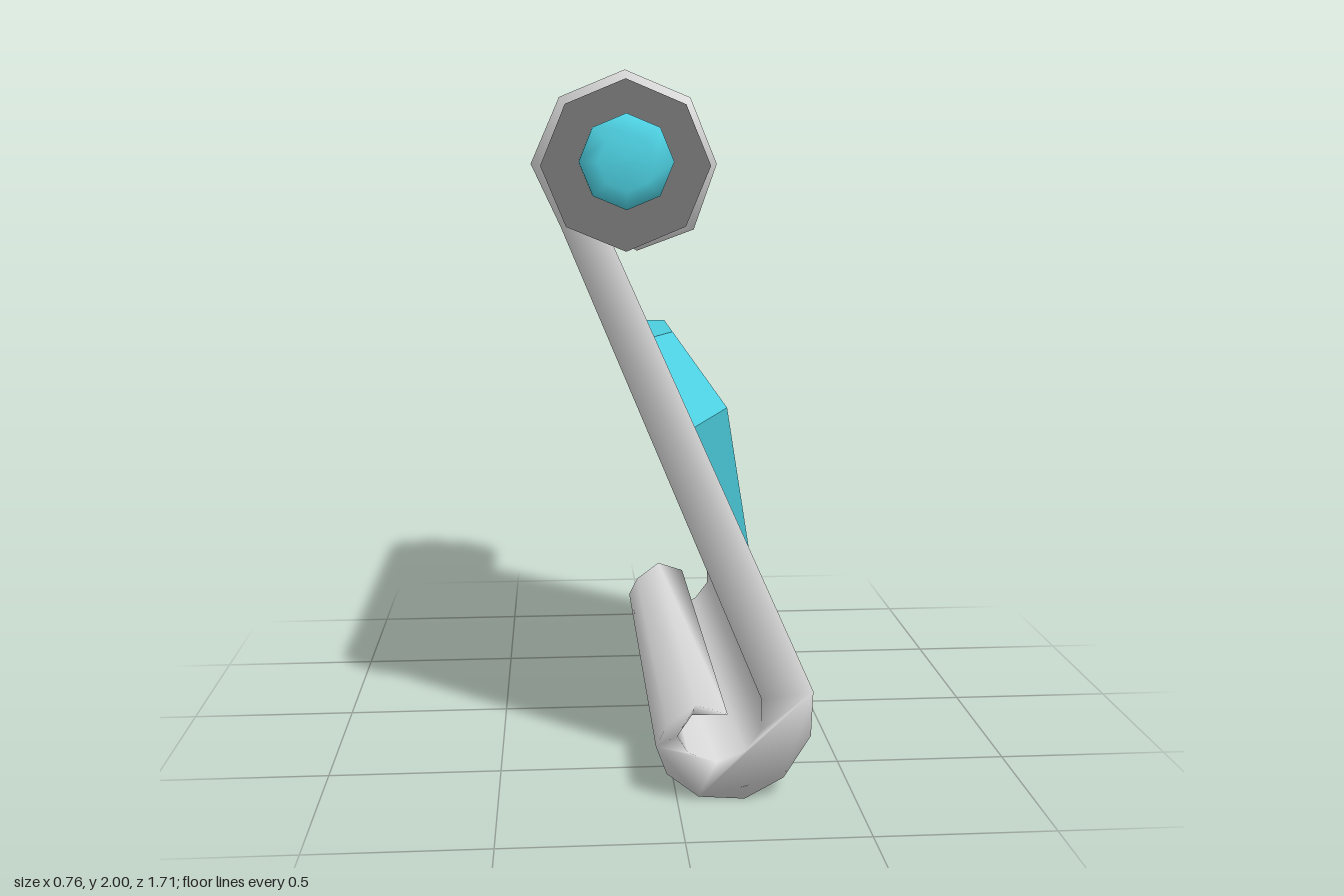
import * as THREE from 'three';
import { mergeVertices } from 'three/addons/utils/BufferGeometryUtils.js';
import { ConvexGeometry } from 'three/addons/geometries/ConvexGeometry.js';

const paper = new THREE.MeshStandardMaterial({ color: 0xdcdcdc });
paper.name = 'pale paper';
const rod = new THREE.MeshStandardMaterial({ color: 0x757575 });
rod.name = 'grey rod';
const cyan = new THREE.MeshStandardMaterial({ color: 0x4dd0e1 });
cyan.name = 'cyan gem';

const ROLL_X = -0.14, ROLL_Y = 1.76;

export function createModel() {
  const model = new THREE.Group();
  model.name = 'scroll';
  const add = (name, geometry, material) => {
    const mesh = new THREE.Mesh(geometry, material);
    mesh.name = name;
    model.add(mesh);
    return mesh;
  };

  // Paper: side profile of roll, leaning sheet and bottom curl, softly shaded
  const profile = [
    // top roll
    [-0.19, 1.59], [-0.11, 1.535], [0.04, 1.59], [0.10, 1.76], [0.03, 1.93],
    [-0.14, 2.0], [-0.31, 1.93], [-0.385, 1.76], [-0.31, 1.6],
    // back of the sheet, then inside of the curl
    [0.235, 0.29], [0.235, 0.2], [0.19, 0.14], [0.11, 0.11], [0.03, 0.14],
    [0.0, 0.19], [0.04, 0.25], [0.14, 0.25],
    // outside of the curl, up to the front of the sheet
    [0.05, 0.28], [-0.03, 0.22], [-0.06, 0.16], [-0.03, 0.08], [0.06, 0.01],
    [0.19, 0.0], [0.30, 0.06], [0.375, 0.18], [0.38, 0.31], [0.30, 0.49],
  ].map(([x, y]) => new THREE.Vector2(x, y));
  let sheet = new THREE.ExtrudeGeometry(new THREE.Shape(profile), { depth: 1.48, bevelEnabled: false });
  sheet.translate(0, 0, -0.74);
  sheet.deleteAttribute('uv');
  sheet.deleteAttribute('normal');
  sheet = mergeVertices(sheet);
  sheet.computeVertexNormals();
  add('paperSheet', sheet, paper);

  // Rod showing at both ends of the roll
  const rodGeometry = new THREE.CylinderGeometry(0.22, 0.22, 1.575, 8).rotateX(Math.PI / 2);
  add('rod', rodGeometry, rod).position.set(ROLL_X, ROLL_Y - 0.005, 0);

  // Bevelled end knobs
  const knobProfile = [[0.122, 0.75], [0.122, 0.825], [0.075, 0.853], [0, 0.855]]
    .map(([r, y]) => new THREE.Vector2(r, y));
  for (const side of [1, -1]) {
    const knob = new THREE.LatheGeometry(knobProfile, 8).rotateX(side * Math.PI / 2);
    add(side > 0 ? 'frontKnob' : 'backKnob', knob, cyan).position.set(ROLL_X, ROLL_Y + 0.005, 0);
  }

  // Faceted gem set on the sheet
  const gemPoints = [new THREE.Vector3(0.30, 0.49, 0)];
  for (const s of [1, -1]) {
    gemPoints.push(
      new THREE.Vector3(-0.04, 1.25, s * 0.26),
      new THREE.Vector3(0.03, 1.257, s * 0.17),
      new THREE.Vector3(0.185, 1.04, s * 0.29),
      new THREE.Vector3(0.066, 1.01, s * 0.465),
    );
  }
  add('gem', new ConvexGeometry(gemPoints), cyan);

  return model;
}
